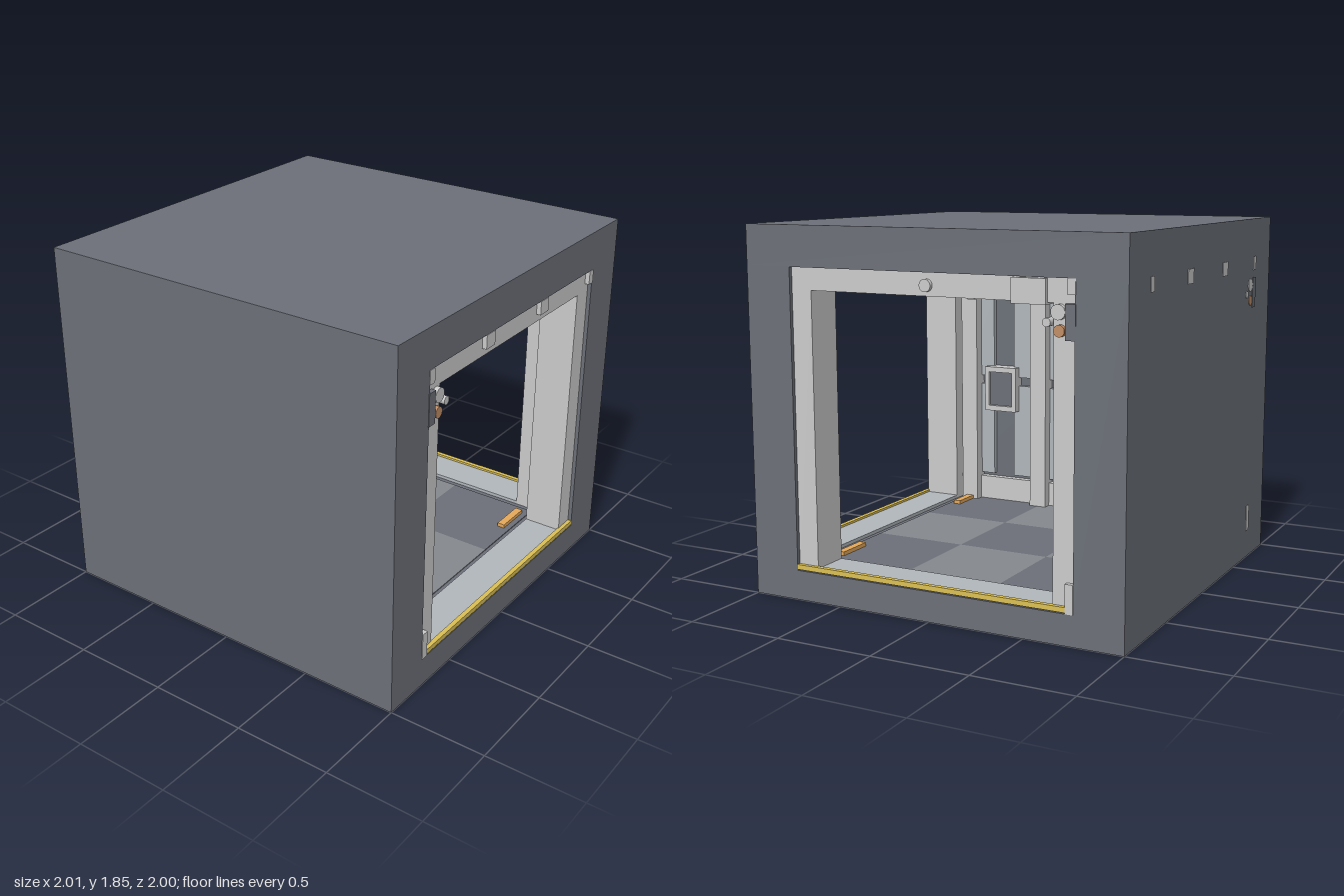
import * as THREE from 'three';

const mat = (color) => new THREE.MeshStandardMaterial({ color });
const grey = mat(0xcccccc);
const dark = mat(0x6c7078);
const panelGrey = mat(0xb1b7bc);
const yellow = mat(0xdcc055);
const copper = mat(0xc08e66);
const amber = mat(0xe6a95a);

// Box given by its limits on each axis
function block(parent, name, material, [x0, x1], [y0, y1], [z0, z1]) {
  const mesh = new THREE.Mesh(new THREE.BoxGeometry(x1 - x0, y1 - y0, z1 - z0), material);
  mesh.position.set((x0 + x1) / 2, (y0 + y1) / 2, (z0 + z1) / 2);
  mesh.name = name;
  parent.add(mesh);
}

// Round pipe running along z
function pipe(parent, name, material, x, y, radius, z0, z1) {
  const geometry = new THREE.CylinderGeometry(radius, radius, z1 - z0, 20).rotateX(Math.PI / 2);
  const mesh = new THREE.Mesh(geometry, material);
  mesh.position.set(x, y, (z0 + z1) / 2);
  mesh.name = name;
  parent.add(mesh);
}

// Outer hull: solid at the front and left, open at the right and back
function buildShell() {
  const shell = new THREE.Group();
  shell.name = 'shell';
  block(shell, 'floorSlab', dark, [-1, 1], [0, 0.15], [-1, 1]);
  block(shell, 'ceilingSlab', dark, [-1, 1], [1.65, 1.85], [-1, 1]);
  block(shell, 'leftHull', dark, [-1, -0.75], [0.15, 1.65], [-1, 1]);
  block(shell, 'frontHull', dark, [-0.75, 1], [0.15, 1.65], [0.75, 1]);
  block(shell, 'cornerHull', dark, [0.75, 1], [0.15, 1.65], [-1, -0.75]);
  return shell;
}

// Lined wall on the -x side, with its services running along z
function buildWall(name, end) {
  const wall = new THREE.Group();
  wall.name = name;
  const run = [-1.003, end];
  block(wall, 'baseboard', grey, [-0.75, -0.71], [0.15, 0.29], run);
  block(wall, 'pipeBacking', dark, [-0.755, -0.705], [1.38, 1.54], run);

  // Two rows of lining panels with dark gaps between them
  for (const [y0, y1] of [[0.31, 0.85], [0.9, 1.38]]) {
    for (const z of [[-0.75, -0.565], [-0.435, -0.067], [0.067, 0.435], [0.565, 0.75]]) {
      block(wall, 'wallPanel', panelGrey, [-0.75, -0.72], [y0, y1], z);
    }
  }
  for (const z of [-0.7, -0.25, 0.25, 0.7]) {
    block(wall, 'wallRib', grey, [-0.75, -0.66], [0.15, 1.4], [z - 0.05, z + 0.05]);
  }

  // Pipes and their brackets
  pipe(wall, 'largePipe', grey, -0.67, 1.502, 0.035, ...run);
  pipe(wall, 'smallPipe', grey, -0.615, 1.455, 0.02, ...run);
  pipe(wall, 'copperPipe', copper, -0.675, 1.42, 0.027, ...run);
  for (const z of [-0.65, 0, 0.65]) {
    const width = [z - 0.023, z + 0.023];
    block(wall, 'bracketPlate', grey, [-0.64, -0.59], [1.36, 1.53], width);
    block(wall, 'bracketArm', grey, [-0.75, -0.64], [1.36, 1.39], width);
  }

  // Wall screen
  block(wall, 'screen', dark, [-0.75, -0.69], [0.72, 0.94], [0.42, 0.58]);
  for (const z of [0.4, 0.575]) {
    block(wall, 'screenFrameSide', grey, [-0.75, -0.67], [0.7, 0.96], [z, z + 0.025]);
  }
  for (const y of [0.7, 0.93]) {
    block(wall, 'screenFrameRail', grey, [-0.75, -0.67], [y, y + 0.03], [0.425, 0.575]);
  }
  block(wall, 'warningBox', yellow, [-0.75, -0.66], [0.92, 1.005], [-0.565, -0.432]);
  return wall;
}

// Door frame in the +x opening
function buildPortal(name) {
  const portal = new THREE.Group();
  portal.name = name;
  const depth = [0.78, 0.98];
  for (const z of [-0.75, 0.64]) {
    block(portal, 'post', grey, depth, [0.15, 1.54], [z, z + 0.11]);
  }
  block(portal, 'header', grey, depth, [1.54, 1.65], [-0.75, 0.75]);
  block(portal, 'threshold', panelGrey, depth, [0.15, 0.168], [-0.64, 0.64]);
  block(portal, 'hazardStrip', yellow, [0.975, 1], [0.155, 0.18], [-0.75, 0.75]);
  return portal;
}

function buildCeiling() {
  const ceiling = new THREE.Group();
  ceiling.name = 'ceilingServices';
  for (const [z0, z1] of [[-0.755, -0.715], [-0.288, -0.213], [0.213, 0.288], [0.715, 0.755]]) {
    block(ceiling, 'ceilingBeam', grey, [-1.003, 1.003], [1.58, 1.65], [z0, z1]);
  }
  block(ceiling, 'duct', grey, [-0.61, -0.44], [1.53, 1.645], [-1, 0.99]);
  block(ceiling, 'edgeBeam', grey, [-0.755, -0.715], [1.58, 1.65], [-1.003, 0.75]);
  pipe(ceiling, 'ceilingPipe', grey, 0, 1.59, 0.03, -1, 0.75);
  return ceiling;
}

function buildFloor() {
  const floor = new THREE.Group();
  floor.name = 'floor';
  // Checkered plates
  const lighter = mat(0x85898e);
  for (let i = -1; i <= 1; i++) {
    for (let j = -1; j <= 1; j++) {
      block(floor, 'floorPlate', (i + j) % 2 === 0 ? dark : lighter,
        [i * 0.5 - 0.25, i * 0.5 + 0.25], [0.15, 0.155], [j * 0.5 - 0.25, j * 0.5 + 0.25]);
    }
  }
  for (const z of [-0.6, 0.6]) {
    block(floor, 'floorLight', amber, [0.68, 0.72], [0.155, 0.175], [z - 0.1, z + 0.1]);
  }
  return floor;
}

export function createModel() {
  const model = new THREE.Group();
  model.name = 'corridorCorner';
  model.add(buildShell(), buildFloor(), buildCeiling());

  // The front wall and back portal repeat the left and right ones a quarter turn on
  const frontWall = buildWall('frontWall', 1.003);
  const backPortal = buildPortal('backPortal');
  frontWall.rotation.y = backPortal.rotation.y = Math.PI / 2;
  model.add(buildWall('leftWall', 0.75), frontWall, buildPortal('sidePortal'), backPortal);
  return model;
}
